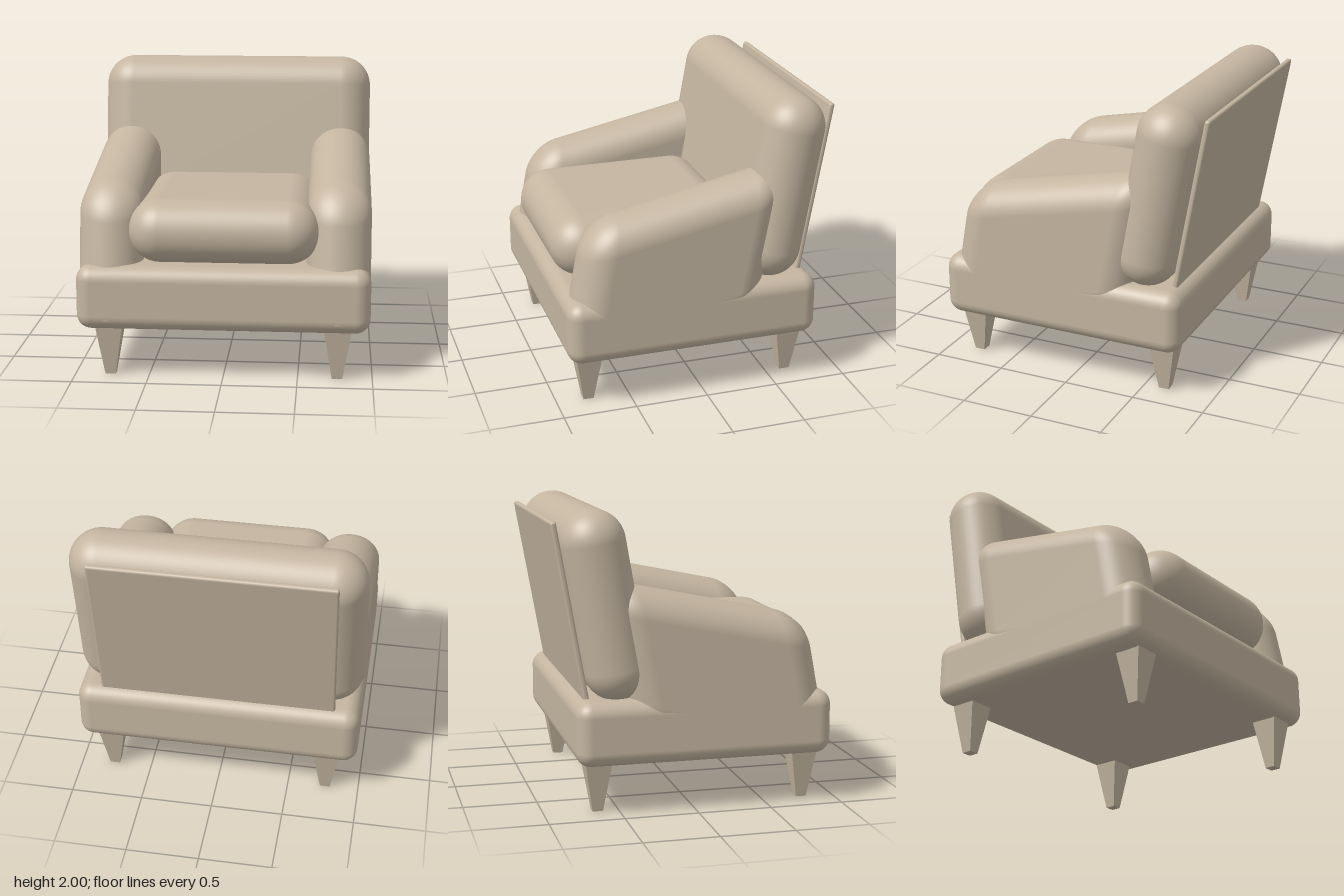
import * as THREE from 'three';
import { RoundedBoxGeometry } from 'three/addons/geometries/RoundedBoxGeometry.js';

const fabric = new THREE.MeshStandardMaterial({ color: 0xc4b5a0 });
const wood = new THREE.MeshStandardMaterial({ color: 0xc4b5a0, flatShading: true });
const RECLINE = -THREE.MathUtils.degToRad(10);

// Rounded, upholstered block centred on (0, y, z)
function pad(name, w, h, d, r, y, z, tilt = 0) {
  const mesh = new THREE.Mesh(new RoundedBoxGeometry(w, h, d, 10, r), fabric);
  mesh.name = name;
  mesh.position.set(0, y, z);
  mesh.rotation.x = tilt;
  return mesh;
}

// Armrest: rounded block sheared so the top rises and the front leans towards the back
function armGeometry() {
  const g = new RoundedBoxGeometry(0.43, 1.006, 1.382, 12, 0.214);
  g.applyMatrix4(new THREE.Matrix4().set(
    1, 0, 0, 0,
    0, 1, -0.21, 0.903,
    0, -0.19, 1, 0.19,
    0, 0, 0, 1
  ));
  // keep the hidden underside inside the base
  const p = g.attributes.position;
  for (let i = 0; i < p.count; i++) p.setY(i, Math.max(p.getY(i), 0.4));
  return g;
}

export function createModel() {
  const chair = new THREE.Group();
  chair.name = 'armchair';

  chair.add(
    pad('base', 1.96, 0.435, 1.74, 0.1, 0.55, 0.07),
    pad('seatCushion', 1.28, 0.43, 1.345, 0.214, 0.985, 0.2625),
    pad('backrest', 1.96, 1.27, 0.43, 0.214, 1.372, -0.58, RECLINE),
    pad('backPanel', 1.62, 1.2, 0.038, 0.016, 1.335, -0.812, RECLINE)
  );

  // Armrests
  const arm = armGeometry();
  for (const side of [1, -1]) {
    const mesh = new THREE.Mesh(arm, fabric);
    mesh.name = side > 0 ? 'leftArm' : 'rightArm';
    mesh.position.x = side * 0.765;
    chair.add(mesh);
  }

  // Tapered square legs
  const leg = new THREE.CylinderGeometry(0.09 * Math.SQRT2, 0.035 * Math.SQRT2, 0.34, 4);
  leg.rotateY(Math.PI / 4);
  for (const x of [0.765, -0.765]) {
    for (const z of [0.78, -0.64]) {
      const mesh = new THREE.Mesh(leg, wood);
      mesh.name = (z > 0 ? 'front' : 'back') + (x > 0 ? 'Left' : 'Right') + 'Leg';
      mesh.position.set(x, 0.17, z);
      chair.add(mesh);
    }
  }
  return chair;
}
